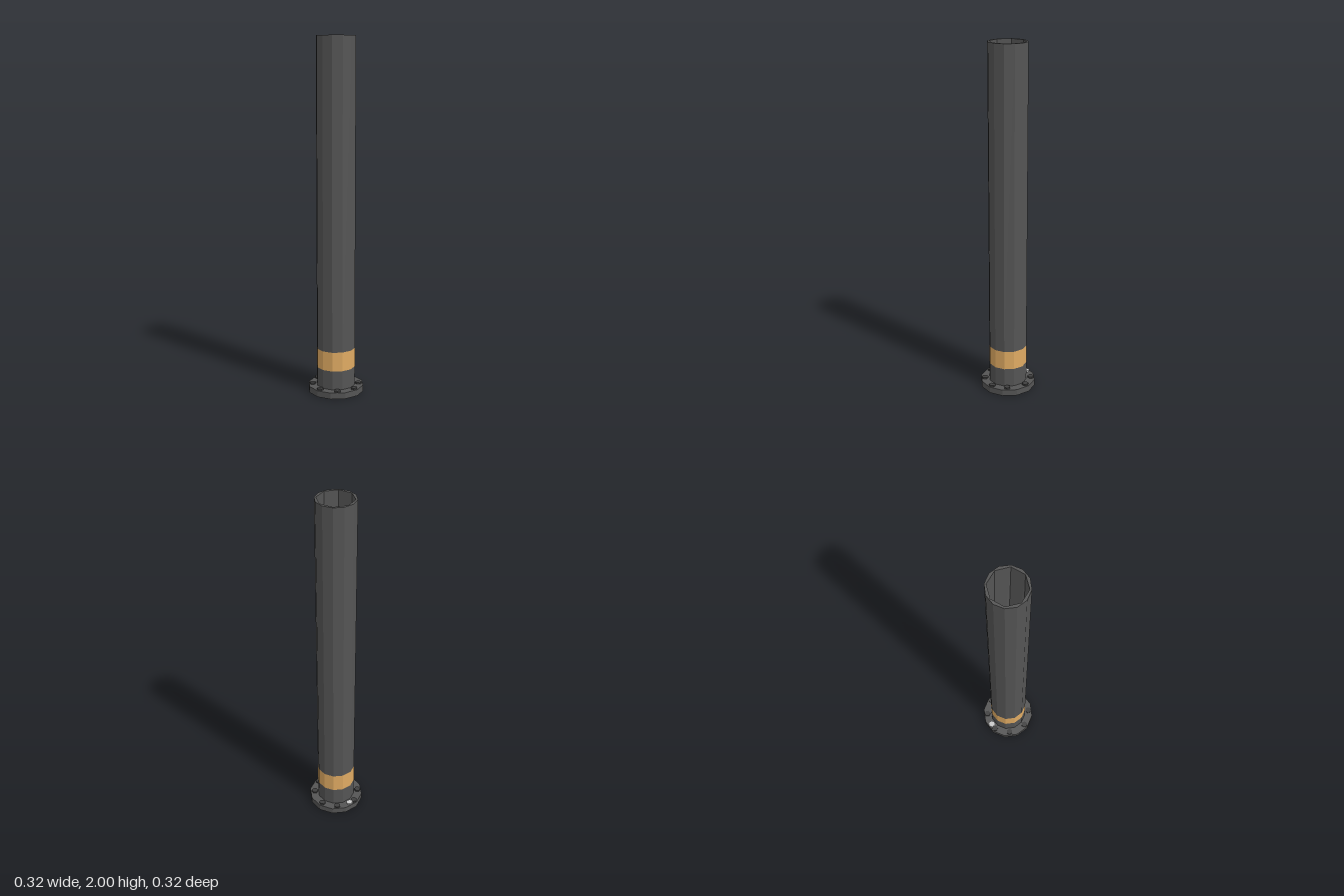
import * as THREE from 'three';

const mat = (color) => new THREE.MeshStandardMaterial({ color, flatShading: true, side: THREE.DoubleSide });

// Points on a circle at the given angles (degrees)
const ring = (r, angles) => angles.map((a) => {
  const t = THREE.MathUtils.degToRad(a);
  return new THREE.Vector2(r * Math.cos(t), r * Math.sin(t));
});

export function createModel() {
  const group = new THREE.Group();
  const dark = mat(0x555555);
  const boltMat = mat(0x404040);
  const add = (name, geo, material) => {
    const mesh = new THREE.Mesh(geo, material);
    mesh.name = name;
    group.add(mesh);
    return mesh;
  };

  const R = 0.11, flangeTop = 0.036;
  const twelve = Array.from({ length: 12 }, (_, i) => i * 30);
  // Bore outlines, slightly twisted between mouth and foot
  const topBore = ring(0.1, [75, 30, -15, -60, -105, -150, -195, -240]);
  const footBore = ring(0.098, [75, 25, 11, -45, -105, -150, -195, -240]);
  const plate = (r, hole) => {
    const shape = new THREE.Shape(ring(r, twelve));
    shape.holes.push(new THREE.Path(hole));
    return shape;
  };

  // Outer pipe wall, split around the coloured band
  const wall = (name, y0, y1, material) => {
    const geo = new THREE.CylinderGeometry(R, R, y1 - y0, 12, 1, true);
    add(name, geo, material).position.y = (y0 + y1) / 2;
  };
  wall('pipeFoot', flangeTop, 0.145, dark);
  wall('band', 0.145, 0.255, mat(0xe0ab63));
  wall('pipe', 0.255, 2, dark);

  // Rim at the open end
  const rim = add('pipeRim', new THREE.ShapeGeometry(plate(R, topBore)).rotateX(-Math.PI / 2), dark);
  rim.position.y = 2;

  // Inner wall lofted from foot to mouth
  const pos = [], n = topBore.length;
  for (let i = 0; i < n; i++) {
    const j = (i + 1) % n;
    const at = (p, y) => [p.x, y, -p.y];
    const a = at(footBore[i], flangeTop), b = at(footBore[j], flangeTop);
    const c = at(topBore[j], 2), d = at(topBore[i], 2);
    pos.push(...a, ...b, ...c, ...a, ...c, ...d);
  }
  const bore = new THREE.BufferGeometry();
  bore.setAttribute('position', new THREE.Float32BufferAttribute(pos, 3));
  bore.computeVertexNormals();
  add('bore', bore, dark);

  // Base flange
  const flange = new THREE.ExtrudeGeometry(plate(0.159, footBore), { depth: flangeTop, bevelEnabled: false });
  add('flange', flange.rotateX(-Math.PI / 2), dark);

  // Hexagonal bolts, with one loose bright nut
  const boltGeo = new THREE.CylinderGeometry(0.019, 0.019, 0.018, 6);
  const bolt = (name, x, z, material) => {
    const m = add(name, boltGeo, material);
    m.position.set(x, 0.036, z);
    m.rotation.y = Math.atan2(x, z);
  };
  [[0, -0.138], [0.101, -0.088], [0.134, 0], [0.082, 0.1], [-0.001, 0.136],
    [-0.096, 0.093], [-0.135, 0], [-0.089, -0.098]].forEach(([x, z]) => bolt('bolt', x, z, boltMat));
  bolt('looseNut', 0.033, -0.129, mat(0xcccccc));
  return group;
}
